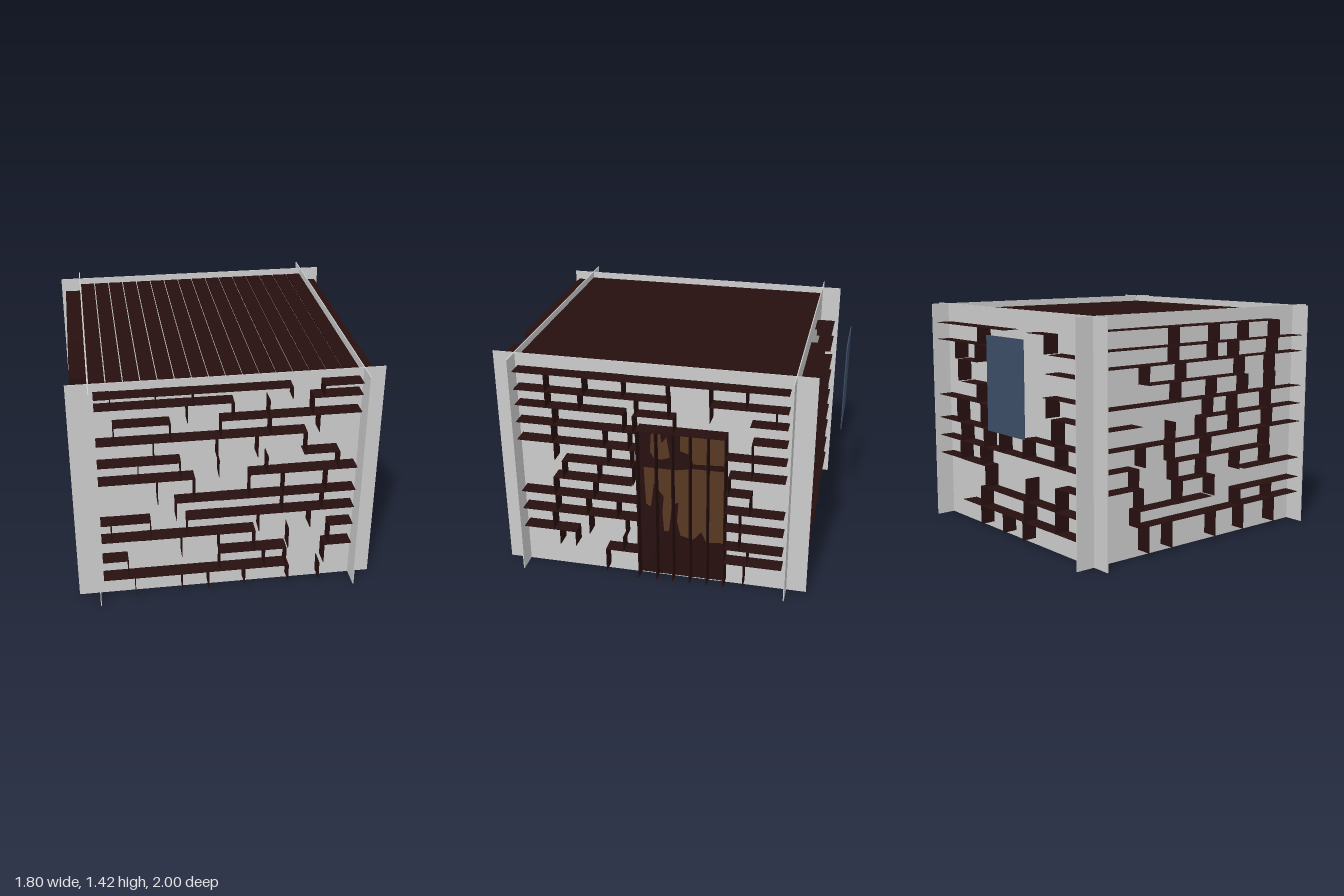
import * as THREE from 'three';

const mat = (name, color, opts = {}) => {
  const m = new THREE.MeshStandardMaterial({ color, ...opts });
  m.name = name;
  return m;
};

export function createModel() {
  const plaster = mat('grey plaster', 0xcccccc);
  const darkWood = mat('dark brown wood', 0x270f0f);
  const lightWood = mat('light brown wood', 0x583821, { side: THREE.DoubleSide });
  const glass = mat('blue glass', 0x3d4e68);

  const root = new THREE.Group();
  root.name = 'hut';

  let seed = 7;
  const rand = () => ((seed = (seed * 16807) % 2147483647) / 2147483647);

  const box = (parent, name, material, w, h, d, x, y, z) => {
    const m = new THREE.Mesh(new THREE.BoxGeometry(w, h, d), material);
    m.name = name;
    m.position.set(x, y, z);
    parent.add(m);
    return m;
  };

  // Split long stretches between joints into brick lengths
  const fillJoints = (list) => {
    const out = [list[0]];
    for (let i = 1; i < list.length; i++) {
      const a = list[i - 1], n = Math.max(1, Math.round((list[i] - a) / 0.25));
      for (let k = 1; k < n; k++) out.push(a + (list[i] - a) * (k + (rand() - 0.5) * 0.4) / n);
      out.push(list[i]);
    }
    return out;
  };

  // Wall sheet with thin joint plates standing out 0.1 from its face (local +z)
  const DEPTH = 0.1, T = 0.003;
  function makeWall({ name, width, span, courses, joints = [], hole, keep = 0.76, position, turn }) {
    const g = new THREE.Group();
    g.name = name;
    g.position.set(...position);
    g.rotation.y = turn;
    box(g, name + 'Sheet', plaster, width, 1.42, 0.006, 0, 0.71, 0);
    const inHole = (y) => hole && y > hole[2] && y < hole[3];

    const ledge = (a, b, y) => {
      if (b - a < 0.03) return;
      const m = box(g, 'brickLedge', darkWood, b - a, T, DEPTH, (a + b) / 2, y, DEPTH / 2);
      m.rotation.x = (rand() - 0.5) * 0.05;
    };
    courses.forEach((y, i) => {
      const below = i ? courses[i - 1] : 0.04;
      const known = (joints[i] || []).slice().sort((p, q) => p - q);
      const js = fillJoints([-span, ...known, span]);
      for (let k = 1; k < js.length; k++) {
        const a = js[k - 1], b = js[k];
        // Upright joint below this course
        const mid = (y + below) / 2;
        const blocked = inHole(mid) && b > hole[0] && b < hole[1];
        if (k < js.length - 1 && !blocked && (known.includes(b) || rand() < 0.72)) {
          box(g, 'brickUpright', darkWood, T, y - below, DEPTH, b, mid, DEPTH / 2)
            .rotation.y = (rand() - 0.5) * 0.06;
        }
        // Level joint along this course
        if (rand() > keep) continue;
        if (inHole(y)) {
          ledge(a, Math.min(b, hole[0]), y);
          ledge(Math.max(a, hole[1]), b, y);
        } else ledge(a, b, y);
      }
    });
    root.add(g);
    return g;
  }

  const frontCourses = [0.16, 0.29, 0.43, 0.55, 0.67, 0.825, 0.94, 1.08, 1.19, 1.30, 1.37];
  const sideCourses = [0.2, 0.3, 0.43, 0.55, 0.67, 0.79, 0.905, 1.02, 1.13, 1.23, 1.34];
  const doorHole = [-0.08, 0.45, 0, 1.04];
  const windowHole = [0.05, 0.43, 0.71, 1.28];

  makeWall({
    name: 'frontWall', width: 1.8, span: 0.75, courses: frontCourses,
    joints: [
      [-0.28, -0.12, 0.1, 0.56], [-0.6, 0.22, 0.35], [-0.28, 0.61], [-0.69, -0.46, 0.18],
      [-0.31, 0.56], [0.12], [-0.52, -0.28, -0.06, 0.22, 0.64], [-0.43, -0.07, 0.16],
      [-0.65, -0.05, 0.23, 0.51], [-0.24, 0.47], [-0.66, -0.41, 0.35, 0.53],
    ],
    position: [0, 0, 0.87], turn: 0,
  });
  makeWall({
    name: 'backWall', width: 1.8, span: 0.75, courses: frontCourses.slice(0, 10), hole: windowHole,
    position: [0, 0, -0.772], turn: Math.PI,
  });
  const leftWall = makeWall({
    name: 'leftWall', width: 1.895, span: 0.8, courses: sideCourses, hole: doorHole,
    joints: [
      [-0.28], [-0.57, -0.47, -0.17], [-0.61, -0.15, 0.54], [-0.39, -0.2], [-0.59, 0.6],
      [-0.1, 0.47], [-0.25, -0.11], [-0.27, -0.12], [-0.57, -0.15, -0.09], [-0.61, 0.36, 0.73], [-0.15, 0.11],
    ],
    position: [0.775, 0, 0.0525], turn: Math.PI / 2,
  });
  makeWall({
    name: 'rightWall', width: 1.895, span: 0.8, courses: sideCourses,
    position: [-0.775, 0, 0.0525], turn: -Math.PI / 2,
  });

  // Door: dark leaf, deep upright dividers, cross rail and light worn patches
  const door = new THREE.Group();
  door.name = 'door';
  door.position.x = 0.0525;
  leftWall.add(door);
  box(door, 'doorLeaf', darkWood, 0.525, 1.01, 0.02, 0.135, 0.53, 0.02);
  for (const s of [-0.127, -0.015, 0.085, 0.19, 0.295, 0.397]) {
    box(door, 'doorDivider', darkWood, 0.006, 1.01, DEPTH, s, 0.53, DEPTH / 2);
  }
  box(door, 'doorHead', darkWood, 0.525, 0.006, DEPTH, 0.135, 1.035, DEPTH / 2);
  const patches = [
    [[-0.06, 0.88], [-0.05, 1.02], [0, 1.03], [0.01, 0.94], [0.04, 0.98], [0.06, 0.85], [0.01, 0.83], [-0.04, 0.84]],
    [[0.12, 0.9], [0.12, 0.99], [0.14, 1.03], [0.39, 1.03], [0.39, 0.83], [0.2, 0.82], [0.18, 0.88]],
    [[-0.1, 0.77], [0.1, 0.77], [0.2, 0.79], [0.39, 0.79], [0.39, 0.3], [0.28, 0.29], [0.25, 0.36], [0.2, 0.3],
      [0.12, 0.32], [0.1, 0.42], [0.11, 0.55], [0.07, 0.53], [0.05, 0.34], [0.02, 0.34], [0.01, 0.47],
      [0.02, 0.58], [-0.04, 0.66], [-0.06, 0.5], [-0.09, 0.52]],
  ];
  for (const p of patches) {
    const shape = new THREE.Shape(p.map(([x, y]) => new THREE.Vector2(x, y)));
    const m = new THREE.Mesh(new THREE.ShapeGeometry(shape), lightWood);
    m.name = 'doorPatch';
    m.position.z = 0.033;
    door.add(m);
  }

  // Window pane floating behind the back wall
  box(root, 'windowPane', glass, 0.38, 0.57, 0.006, -0.24, 0.995, -0.997);

  // Roof planks
  const roof = new THREE.Group();
  roof.name = 'roof';
  root.add(roof);
  const planks = 16, pw = 1.544 / planks;
  for (let i = 0; i < planks; i++) {
    box(roof, 'roofPlank', darkWood, pw - 0.007, 0.01, 1.636, -0.772 + pw * (i + 0.5), 1.375, 0.049);
  }

  // Floor slabs in staggered rows
  const floor = new THREE.Group();
  floor.name = 'floor';
  root.add(floor);
  const rows = [-0.769, -0.45, -0.24, 0.03, 0.28, 0.47, 0.68, 0.867];
  for (let r = 1; r < rows.length; r++) {
    const z0 = rows[r - 1], z1 = rows[r];
    const xs = [-0.772, ...[-0.5, -0.2, 0.1, 0.4].map((x) => x + (r % 2) * 0.14), 0.772];
    for (let k = 1; k < xs.length; k++) {
      box(floor, 'floorSlab', darkWood, xs[k] - xs[k - 1] - 0.005, 0.01, z1 - z0 - 0.005,
        (xs[k] + xs[k - 1]) / 2, 0.035, (z0 + z1) / 2);
    }
  }

  return root;
}
